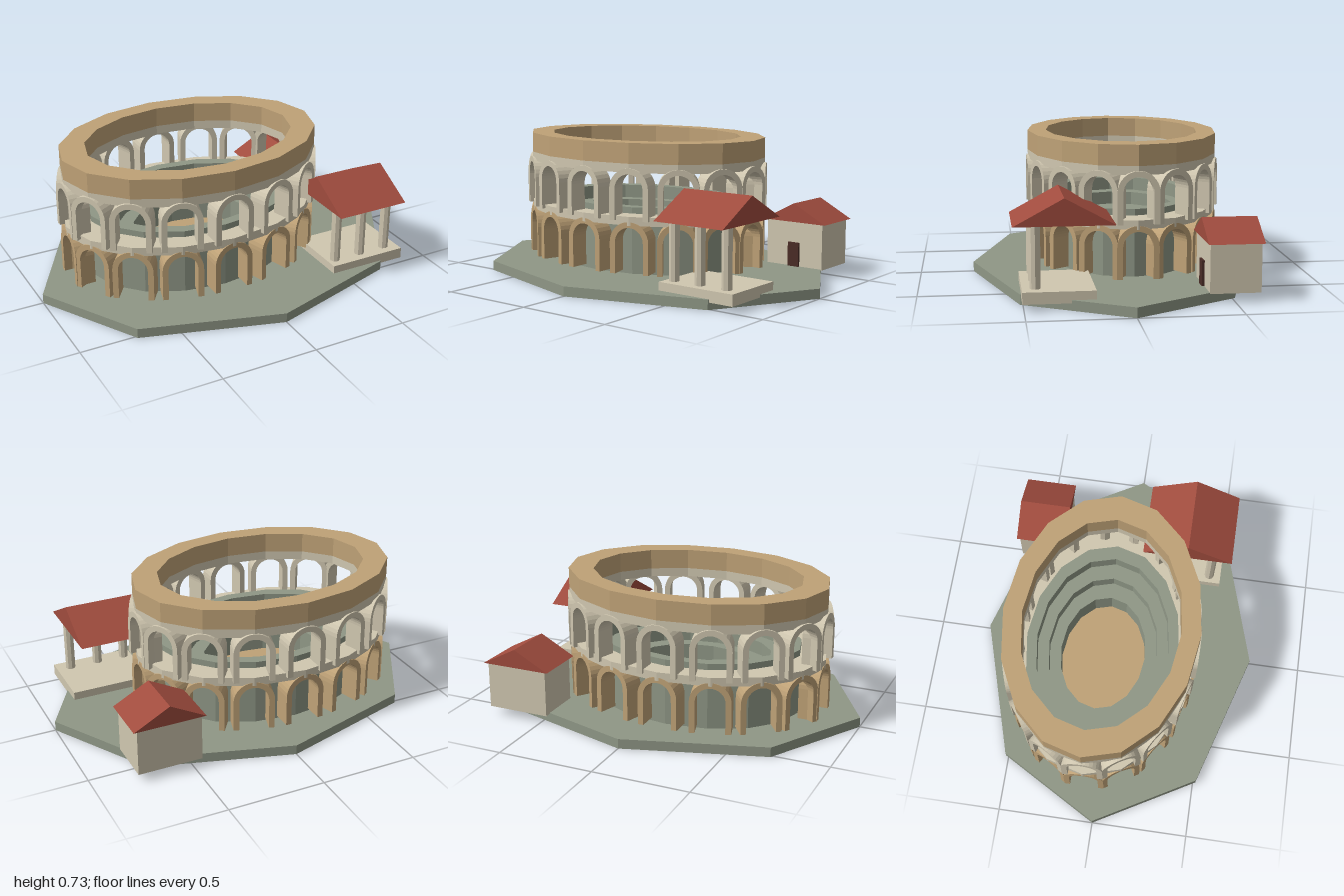
import * as THREE from 'three';

const mat = (color) => new THREE.MeshStandardMaterial({ color, flatShading: true });
const STONE = mat(0x8f9786), TAN = mat(0xbfa277), CREAM = mat(0xd0c7b0);
const ROOF = mat(0xa04c3e), DOOR = mat(0x4a2c26);

const SIDES = 16;
const ASPECT = 0.497 / 0.695; // depth to width of the oval

export function createModel() {
  const model = new THREE.Group();

  const add = (parent, name, geometry, material, x = 0, y = 0, z = 0) => {
    const mesh = new THREE.Mesh(geometry, material);
    mesh.name = name;
    mesh.position.set(x, y, z);
    parent.add(mesh);
    return mesh;
  };

  // box given by its limits on each axis
  const block = (parent, name, material, [x0, x1], [y0, y1], [z0, z1]) =>
    add(parent, name, new THREE.BoxGeometry(x1 - x0, y1 - y0, z1 - z0), material,
      (x0 + x1) / 2, (y0 + y1) / 2, (z0 + z1) / 2);

  // oval solid turned from a profile of [radius, height]
  const oval = (profile) => new THREE.LatheGeometry(
    profile.map(([r, y]) => new THREE.Vector2(r, y)), SIDES).scale(1, 1, ASPECT);
  const ovalRing = (inner, outer, y0, y1) =>
    oval([[inner, y0], [outer, y0], [outer, y1], [inner, y1], [inner, y0]]);

  // gable prism, ridge along z, standing on y = 0
  const gable = (width, height, length) => {
    const s = new THREE.Shape();
    s.moveTo(-width / 2, 0);
    s.lineTo(width / 2, 0);
    s.lineTo(0, height);
    s.closePath();
    return new THREE.ExtrudeGeometry(s, { depth: length, bevelEnabled: false })
      .translate(0, 0, -length / 2);
  };

  // octagonal ground slab
  add(model, 'groundSlab',
    new THREE.CylinderGeometry(1, 1, 0.05, 8).scale(1, 1, 0.727), STONE, 0, 0.025, 0);

  // amphitheatre
  const arena = new THREE.Group();
  arena.name = 'amphitheatre';
  arena.position.set(-0.132, 0, -0.068);
  model.add(arena);

  // stepped seating around the arena floor
  add(arena, 'seating', oval([
    [0.56, 0.05], [0.56, 0.392], [0.485, 0.392], [0.485, 0.32],
    [0.4, 0.32], [0.4, 0.25], [0.315, 0.25], [0.315, 0.05],
  ]), STONE);
  add(arena, 'arenaFloor',
    new THREE.CylinderGeometry(0.315, 0.315, 0.07, SIDES).scale(1, 1, ASPECT), TAN, 0, 0.085, 0);

  // gallery floor and crowning wall
  add(arena, 'galleryFloor', ovalRing(0.555, 0.695, 0.315, 0.36), CREAM);
  add(arena, 'cornice', ovalRing(0.56, 0.695, 0.58, 0.625), CREAM);
  add(arena, 'crownWall', ovalRing(0.56, 0.695, 0.625, 0.728), TAN);

  // one arch: legs and a round head, front face at z = 0
  const archGeometry = (height, depth) => {
    const ro = 0.104, ri = 0.075, spring = height - ro;
    const s = new THREE.Shape();
    s.moveTo(ro, 0);
    s.lineTo(ro, spring);
    s.absarc(0, spring, ro, 0, Math.PI, false);
    s.lineTo(-ro, 0);
    s.lineTo(-ri, 0);
    s.lineTo(-ri, spring);
    s.absarc(0, spring, ri, Math.PI, 0, true);
    s.lineTo(ri, 0);
    s.closePath();
    return new THREE.ExtrudeGeometry(s, { depth, bevelEnabled: false, curveSegments: 8 })
      .translate(0, 0, -depth);
  };

  // arches spaced evenly around the oval, each facing outwards
  const arcade = (name, material, y, height, rx, depth) => {
    const geometry = archGeometry(height, depth);
    const group = new THREE.Group();
    group.name = name;
    for (let i = 0; i < SIDES; i++) {
      const a = (i / SIDES) * Math.PI * 2, rz = rx * ASPECT;
      const arch = add(group, 'arch', geometry, material, rx * Math.sin(a), y, rz * Math.cos(a));
      arch.rotation.y = Math.atan2(Math.sin(a) / rx, Math.cos(a) / rz);
    }
    arena.add(group);
  };
  arcade('lowerArcade', TAN, 0.068, 0.265, 0.693, 0.1);
  arcade('upperArcade', CREAM, 0.34, 0.262, 0.703, 0.1);

  // open portico with three columns
  const portico = new THREE.Group();
  portico.name = 'portico';
  model.add(portico);
  block(portico, 'porticoFloor', CREAM, [0.415, 0.84], [0.035, 0.092], [0.165, 0.508]);
  for (const x of [0.46, 0.612, 0.765]) {
    add(portico, 'column', new THREE.CylinderGeometry(0.026, 0.026, 0.305, 8), CREAM, x, 0.2405, 0.445);
  }
  add(portico, 'porticoRoof', gable(0.48, 0.13, 0.395), ROOF, 0.613, 0.39, 0.31)
    .rotation.y = Math.PI / 2;

  // small house
  const house = new THREE.Group();
  house.name = 'house';
  model.add(house);
  block(house, 'houseWalls', CREAM, [0.46, 0.79], [0.045, 0.287], [-0.623, -0.375]);
  block(house, 'houseDoor', DOOR, [0.593, 0.657], [0.05, 0.176], [-0.38, -0.362]);
  add(house, 'houseRoof', gable(0.37, 0.098, 0.272), ROOF, 0.625, 0.285, -0.499);

  return model;
}
